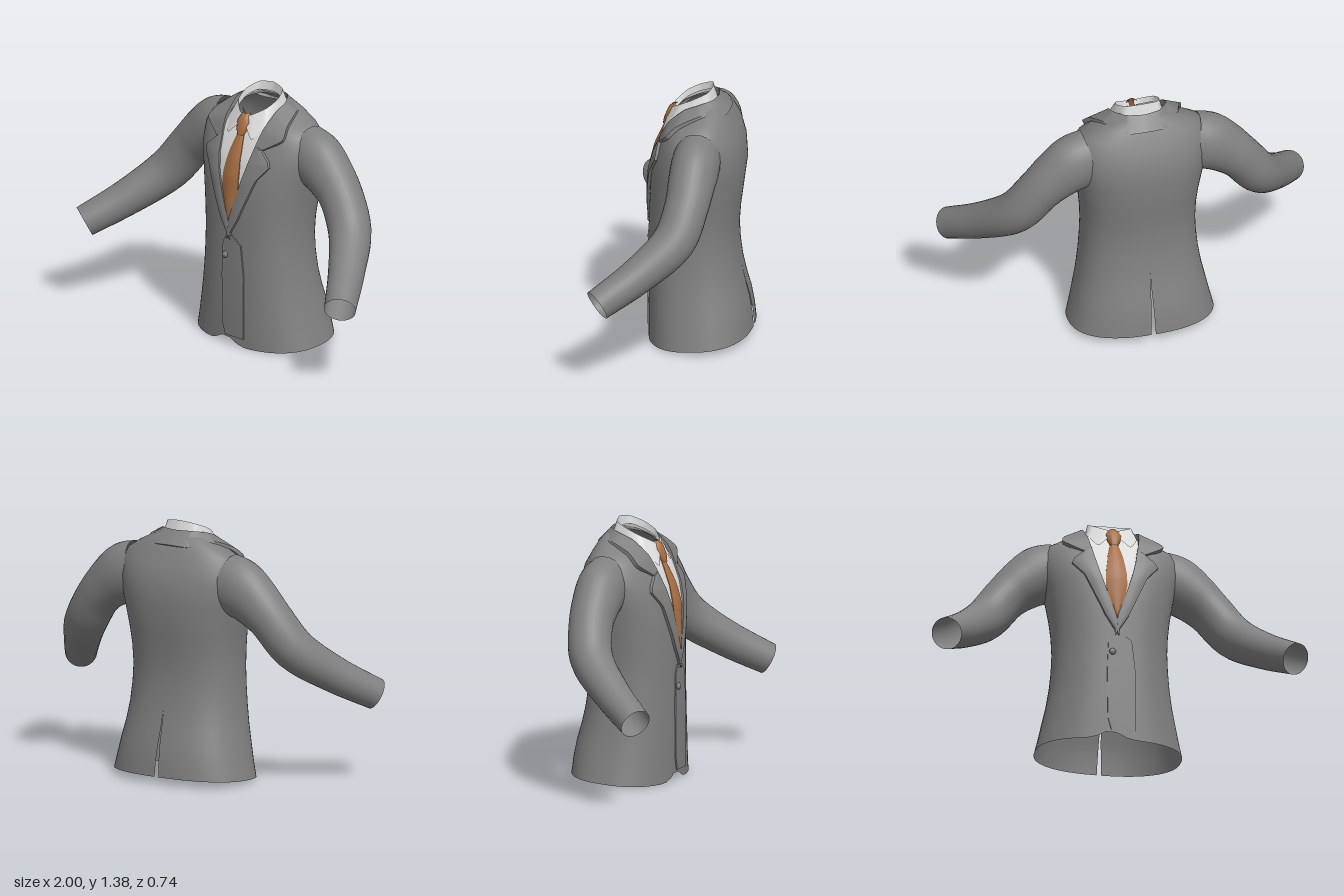
import * as THREE from 'three';
import { toCreasedNormals } from 'three/addons/utils/BufferGeometryUtils.js';

const V = (x, y, z) => new THREE.Vector3(x, y, z);
const lerp = THREE.MathUtils.lerp;
const makeMaterial = (name, color) => {
  const m = new THREE.MeshStandardMaterial({ color, side: THREE.DoubleSide });
  m.name = name;
  return m;
};

// Skin over rows of points, all rows equally long
function skin(rows, crease = 0.9) {
  const n = rows[0].length, index = [];
  for (let r = 0; r < rows.length - 1; r++) {
    for (let c = 0; c < n - 1; c++) {
      const a = r * n + c, b = a + 1, d = a + n, e = d + 1;
      index.push(a, b, e, a, e, d);
    }
  }
  const g = new THREE.BufferGeometry().setFromPoints(rows.flat());
  g.setIndex(index);
  return toCreasedNormals(g, crease);
}

// Jacket body rings: front y, back y, half width, front z, back z
const RINGS = [
  [0.01, 0.05, 0.39, 0.182, -0.365],
  [0.1, 0.13, 0.37, 0.183, -0.358],
  [0.2, 0.22, 0.35, 0.184, -0.342],
  [0.3, 0.3, 0.331, 0.184, -0.32],
  [0.4, 0.4, 0.316, 0.184, -0.298],
  [0.5, 0.5, 0.307, 0.183, -0.285],
  [0.6, 0.6, 0.303, 0.182, -0.28],
  [0.7, 0.7, 0.307, 0.182, -0.287],
  [0.8, 0.8, 0.318, 0.18, -0.3],
  [0.95, 0.97, 0.345, 0.17, -0.322],
  [1.05, 1.08, 0.365, 0.145, -0.313],
  [1.13, 1.17, 0.362, 0.11, -0.285],
  [1.18, 1.235, 0.33, 0.085, -0.25],
  [1.21, 1.285, 0.26, 0.065, -0.225],
  [1.24, 1.32, 0.19, 0.05, -0.2],
  [1.25, 1.335, 0.13, 0.04, -0.18],
];

function bodyGeometry() {
  const N = 64, p = 2 / 2.4;
  const power = (v) => Math.sign(v) * Math.abs(v) ** p;
  return skin(RINGS.map(([yF, yB, w, zF, zB]) => {
    const row = [], mid = (zF + zB) / 2, depth = (zF - zB) / 2;
    for (let i = 0; i <= N; i++) {
      const a = (i / N) * Math.PI * 2; // starts at the middle of the back
      let x = w * power(Math.sin(a));
      const z = mid - depth * power(Math.cos(a));
      let y = lerp(yF, yB, (zF - z) / (zF - zB));
      // rounded front corners of the hem
      if (yF < 0.05 && z > 0) y += 0.045 * Math.exp(-(((x + 0.03) / 0.07) ** 2));
      // back vent
      const gap = 0.014 * Math.max(0, 1 - yB / 0.36);
      if (i === 0) x = gap;
      if (i === N) x = -gap;
      row.push(V(x, y, z));
    }
    return row;
  }));
}

// Sleeve stations: x, y, z, radius, depth factor
const SLEEVE = [
  [0.27, 1.09, -0.11, 0.155, 0.8],
  [0.36, 1.06, -0.11, 0.16, 0.8],
  [0.45, 1.0, -0.105, 0.14, 0.88],
  [0.54, 0.915, -0.095, 0.12, 0.97],
  [0.655, 0.76, -0.045, 0.114, 1],
  [0.795, 0.61, 0.125, 0.097, 1],
  [0.93, 0.487, 0.315, 0.084, 1],
];

function sleeveGeometry(side) {
  const path = new THREE.CatmullRomCurve3(SLEEVE.map(([x, y, z]) => V(x, y, z)));
  const size = new THREE.CatmullRomCurve3(SLEEVE.map((s) => V(s[3], s[4], 0)), false, 'catmullrom');
  const rows = [], STEPS = 30, N = 28;
  for (let i = 0; i <= STEPS; i++) {
    const t = i / STEPS, c = path.getPoint(t), T = path.getTangent(t), s = size.getPoint(t);
    const B = V(0, 0, 1).addScaledVector(T, -T.z).normalize();
    const A = T.clone().cross(B);
    const row = [];
    for (let k = 0; k <= N; k++) {
      const a = (k / N) * Math.PI * 2;
      const q = c.clone().addScaledVector(A, s.x * Math.cos(a)).addScaledVector(B, s.x * s.y * Math.sin(a));
      q.x *= side;
      row.push(q);
    }
    rows.push(row);
  }
  return skin(rows);
}

// Band around the neck; each line is one edge, from the middle of the back to the front
function neckBand(lines) {
  const STEPS = 60;
  return skin(lines.map((half) => {
    const pts = half.map((q) => V(...q));
    const mirrored = pts.slice(1).reverse().map((q) => V(-q.x, q.y, q.z));
    return new THREE.CatmullRomCurve3([...mirrored, ...pts], false, 'catmullrom', 0.3).getPoints(STEPS);
  }), 0.7);
}

export function createModel() {
  const model = new THREE.Group();
  const cloth = makeMaterial('grey cloth', 0x808080);
  const white = makeMaterial('white shirt', 0xdcdcdc);
  const brown = makeMaterial('brown tie', 0xa86f43);
  const add = (name, geometry, material) => {
    const m = new THREE.Mesh(geometry, material);
    m.name = name;
    model.add(m);
    return m;
  };

  const body = add('jacketBody', bodyGeometry(), cloth);
  body.updateMatrixWorld();
  const ray = new THREE.Raycaster();
  const chest = (x, y) => {
    ray.set(V(x, y, 2), V(0, 0, -1));
    const hit = ray.intersectObject(body)[0];
    return hit && hit.point.z > -0.08 ? hit.point.z : 0.05;
  };

  // Cloth panel laid on the chest; rows are [xa, ya, xb, yb], edges turned down
  const panel = (rows, lift, bulge = 0, cols = 8, sub = 4) => {
    const grid = [];
    for (let r = 0; r < rows.length - 1; r++) {
      for (let s = r ? 1 : 0; s <= sub; s++) {
        const [xa, ya, xb, yb] = rows[r].map((v, i) => lerp(v, rows[r + 1][i], s / sub));
        const line = [];
        for (let c = -1; c <= cols + 1; c++) {
          const u = THREE.MathUtils.clamp(c / cols, 0, 1);
          const x = lerp(xa, xb, u), y = lerp(ya, yb, u);
          const up = c < 0 || c > cols ? 0 : lift + bulge * Math.sin(Math.PI * u);
          line.push(V(x, y, chest(x, y) + up));
        }
        grid.push(line);
      }
    }
    return skin(grid, 0.7);
  };

  // Sleeves and lapels
  const LAPEL = [
    [-0.012, 0.63, -0.01, 0.605],
    [0.003, 0.72, 0.06, 0.72],
    [0.045, 0.84, 0.118, 0.85],
    [0.085, 0.97, 0.168, 0.965],
    [0.105, 1.05, 0.228, 1.04],
    [0.114, 1.1, 0.215, 1.072],
    [0.122, 1.145, 0.162, 1.12],
  ];
  for (const [side, label] of [[1, 'left'], [-1, 'right']]) {
    add(label + 'Sleeve', sleeveGeometry(side), cloth);
    const rows = LAPEL.map(([xa, ya, xb, yb]) => [xa * side, ya, xb * side, yb]);
    add(label + 'Lapel', panel(rows, 0.015, 0.004), cloth);
  }

  // Overlapping front edge and button
  add('frontOverlap', panel([
    [-0.03, 0.062, 0.1, 0.06],
    [-0.048, 0.13, 0.1, 0.13],
    [-0.052, 0.4, 0.1, 0.4],
    [-0.045, 0.58, 0.08, 0.58],
    [-0.02, 0.625, 0.02, 0.625],
  ], 0.007), cloth);
  const button = add('button', new THREE.SphereGeometry(0.018, 20, 12), cloth);
  button.scale.z = 0.6;
  button.position.set(-0.025, 0.51, chest(-0.025, 0.51) + 0.012);

  // Shirt front
  add('shirtFront', panel([
    [-0.005, 0.7, 0.005, 0.7],
    [-0.055, 0.84, 0.055, 0.84],
    [-0.095, 0.97, 0.095, 0.97],
    [-0.12, 1.08, 0.12, 1.08],
    [-0.135, 1.16, 0.135, 1.16],
    [-0.135, 1.235, 0.135, 1.235],
  ], 0.005, 0, 12), white);

  // Shirt collar: top edge, then the folded wing edge
  add('shirtCollar', neckBand([
    [[0, 1.34, -0.145], [0.085, 1.335, -0.12], [0.112, 1.31, -0.06], [0.1, 1.28, 0.005], [0.045, 1.25, 0.045], [0.012, 1.24, 0.055]],
    [[0, 1.392, -0.15], [0.085, 1.38, -0.13], [0.115, 1.35, -0.06], [0.102, 1.315, 0.01], [0.045, 1.278, 0.058], [0.012, 1.265, 0.068]],
    [[0, 1.32, -0.168], [0.1, 1.32, -0.145], [0.13, 1.29, -0.06], [0.13, 1.235, 0.045], [0.085, 1.16, 0.108], [0.014, 1.235, 0.085]],
  ]), white);

  // Jacket collar: inside, fold, outer edge, tucked edge
  const fold = [[0, 1.345, -0.18], [0.09, 1.345, -0.16], [0.142, 1.33, -0.09], [0.147, 1.3, -0.015], [0.137, 1.225, 0.07], [0.122, 1.14, 0.116]];
  const edge = [[0, 1.275, -0.245], [0.11, 1.272, -0.228], [0.2, 1.295, -0.12], [0.245, 1.248, 0.003], [0.268, 1.19, 0.066], [0.165, 1.122, 0.112]];
  add('jacketCollar', neckBand([
    fold.map(([x, y, z]) => [x * 0.96, y - 0.04, z - 0.004]),
    fold,
    edge,
    edge.map(([x, y, z], i) => [x * 0.98, y - 0.012, z + (i < 2 ? 0.02 : -0.018)]),
  ]), cloth);

  // Tie blade and knot
  add('tieBlade', panel([
    [-0.003, 0.705, 0.003, 0.705],
    [-0.035, 0.79, 0.035, 0.79],
    [-0.057, 0.9, 0.057, 0.9],
    [-0.055, 0.98, 0.055, 0.98],
    [-0.04, 1.09, 0.04, 1.09],
    [-0.02, 1.18, 0.02, 1.18],
  ], 0.009, 0.01), brown);
  const KNOT = [[1.165, 0.019, 0.105], [1.195, 0.034, 0.1], [1.235, 0.043, 0.085], [1.262, 0.03, 0.072], [1.278, 0.02, 0.055]];
  add('tieKnot', skin(KNOT.map(([y, w, z]) => {
    const row = [];
    for (let i = 0; i <= 12; i++) {
      const a = (i / 12) * Math.PI;
      row.push(V(-w * Math.cos(a), y, z - 0.012 + 0.026 * Math.sin(a)));
    }
    return row;
  })), brown);

  return model;
}
